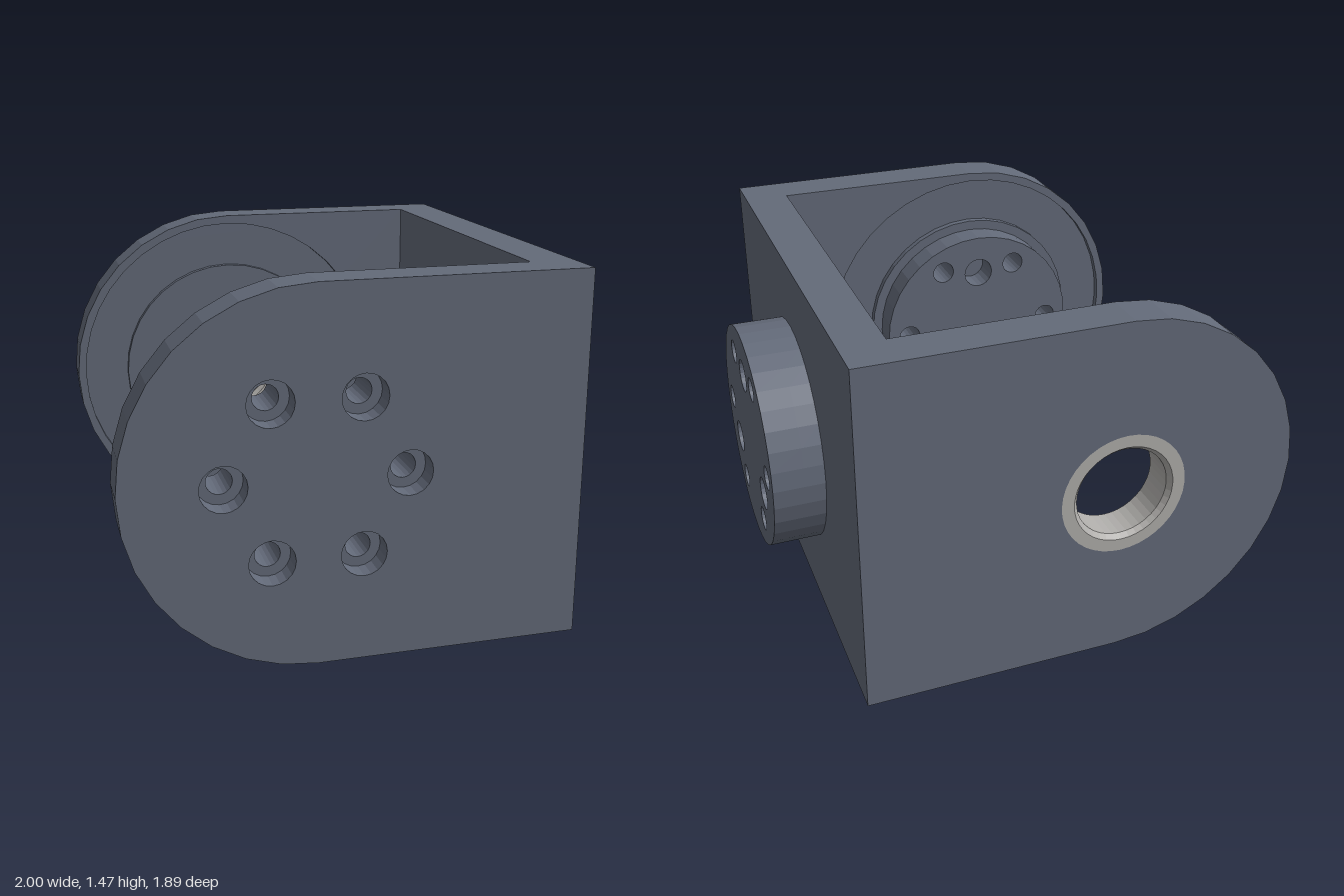
import * as THREE from 'three';

const paint = new THREE.MeshStandardMaterial({ color: 0x636a79, flatShading: true });
paint.name = 'slate grey';
const steel = new THREE.MeshStandardMaterial({ color: 0xb0aeab, flatShading: true });
steel.name = 'bearing steel';

const R = 0.737;          // arm end radius, also half the height
const PIVOT_X = -0.265;   // centre of the rounded arm ends
const HALF_Z = 0.945;
const PLATE_IN = 0.61, PLATE_OUT = 0.79;

// Points of a faceted arc around (cx, cy)
function arcPoints(cx, cy, r, n, start = 0, sweep = Math.PI * 2) {
  const count = sweep < 6 ? n + 1 : n;
  return Array.from({ length: count }, (_, i) => {
    const a = start + (sweep * i) / n;
    return new THREE.Vector2(cx + r * Math.cos(a), cy + r * Math.sin(a));
  });
}

// A ring of round holes around (cx, R)
function holeRing(cx, count, ringR, r, start = 0) {
  return Array.from({ length: count }, (_, i) => {
    const a = start + (i * Math.PI * 2) / count;
    return new THREE.Path(arcPoints(cx + ringR * Math.cos(a), R + ringR * Math.sin(a), r, 20));
  });
}
const bolts = (cx, r = 0.05) => holeRing(cx, 6, 0.353, r);
const dowels = (cx) => holeRing(cx, 3, 0.28, 0.068, Math.PI / 2);
const circlePath = (r) => new THREE.Path(arcPoints(PIVOT_X, R, r, 40));

const disc = (cx, r) => new THREE.Shape(arcPoints(cx, R, r, 36));
const armOutline = () => new THREE.Shape([
  new THREE.Vector2(PLATE_IN, 0),
  new THREE.Vector2(PLATE_IN, 2 * R),
  ...arcPoints(PIVOT_X, R, R, 16, Math.PI / 2, Math.PI),
]);

// Extrude a pierced outline between two depths
function layer(group, name, shape, holes, from, to) {
  shape.holes.push(...holes);
  const geo = new THREE.ExtrudeGeometry(shape, { depth: to - from, bevelEnabled: false });
  geo.translate(0, 0, from);
  const mesh = new THREE.Mesh(geo, paint);
  mesh.name = name;
  group.add(mesh);
}

function namedGroup(parent, name) {
  const g = new THREE.Group();
  g.name = name;
  parent.add(g);
  return g;
}

export function createModel() {
  const model = new THREE.Group();
  model.name = 'jointBracket';

  // Side plate with its mounting flange, built facing +z then turned to +x
  const side = namedGroup(model, 'sidePlate');
  const panel = new THREE.Shape([[-HALF_Z, 0], [HALF_Z, 0], [HALF_Z, 2 * R], [-HALF_Z, 2 * R]]
    .map(([x, y]) => new THREE.Vector2(x, y)));
  layer(side, 'plate', panel, bolts(0), PLATE_IN, PLATE_OUT);
  layer(side, 'flangeBase', disc(0, 0.467), bolts(0), PLATE_OUT, 0.87);
  layer(side, 'flangeFace', disc(0, 0.467), [...bolts(0), ...dowels(0)], 0.87, 1);
  side.rotation.y = Math.PI / 2;

  // Front arm: counterbored outside, ring groove and drive disc inside
  const front = namedGroup(model, 'frontArm');
  layer(front, 'counterboredSkin', armOutline(), bolts(PIVOT_X, 0.09), 0.855, HALF_Z);
  layer(front, 'armCore', armOutline(), bolts(PIVOT_X), 0.8, 0.855);
  layer(front, 'armRim', armOutline(), [circlePath(0.7)], 0.77, 0.8);
  layer(front, 'boss', disc(PIVOT_X, 0.5), bolts(PIVOT_X), 0.77, 0.8);
  layer(front, 'driveDisc', disc(PIVOT_X, 0.457), [...bolts(PIVOT_X), ...dowels(PIVOT_X)], 0.65, 0.77);

  // Back arm: matching ring groove and a bearing seat
  const back = namedGroup(model, 'backArm');
  layer(back, 'armCore', armOutline(), [circlePath(0.262)], -HALF_Z, -0.8);
  layer(back, 'armRim', armOutline(), [circlePath(0.7)], -0.8, -0.77);
  layer(back, 'boss', disc(PIVOT_X, 0.5), [circlePath(0.262)], -0.8, -0.77);

  // Bearing ring with chamfered bore
  const h = 0.0875;
  const profile = [[0.262, -h], [0.262, h], [0.21, h], [0.192, h - 0.02], [0.192, 0.02 - h], [0.21, -h], [0.262, -h]]
    .map(([x, y]) => new THREE.Vector2(x, y));
  const bearing = new THREE.Mesh(new THREE.LatheGeometry(profile, 40), steel);
  bearing.name = 'bearing';
  bearing.rotation.x = Math.PI / 2;
  bearing.position.set(PIVOT_X, R, -HALF_Z + h);
  model.add(bearing);

  return model;
}
